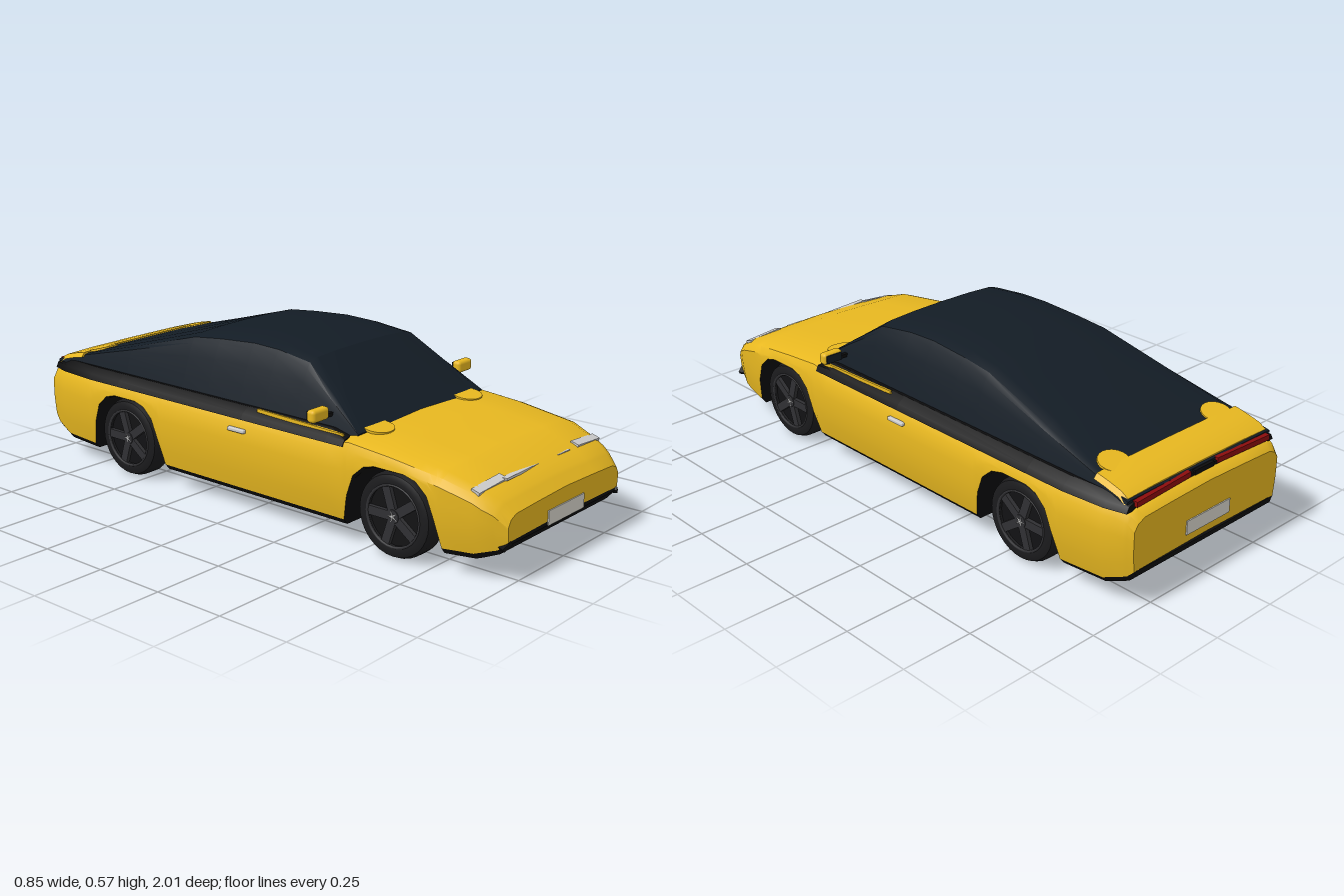
import * as THREE from 'three';
import { toCreasedNormals } from 'three/addons/utils/BufferGeometryUtils.js';
import { RoundedBoxGeometry } from 'three/addons/geometries/RoundedBoxGeometry.js';

const mat = (color, side = THREE.FrontSide) => new THREE.MeshStandardMaterial({ color, side });
const YELLOW = mat(0xe8b820, THREE.DoubleSide);
const GLASS = mat(0x131c25, THREE.DoubleSide);
const BLACK = mat(0x0c0c0d, THREE.DoubleSide);
const TYRE = mat(0x1b1b1d), RIM = mat(0x303033), WELL = mat(0x121214);
const SILVER = mat(0xcccccc), RED = mat(0x8c0c0c), PLATE = mat(0xd8d6cc);

// Linear interpolation in a table of [key, value] with rising keys
function lookup(table, v) {
  if (v <= table[0][0]) return table[0][1];
  for (let i = 1; i < table.length; i++) {
    const [k0, a] = table[i - 1], [k1, b] = table[i];
    if (v <= k1) return a + (b - a) * (v - k0) / (k1 - k0);
  }
  return table[table.length - 1][1];
}

const flip = ([x, y, z]) => [-x, y, z];
// Right half (bottom to top centre) -> whole arch, right to left
const overTop = (half) => [...half, ...half.slice(0, -1).reverse().map(flip)];
// Right half (bottom centre outwards) -> whole underside, left to right
const underBottom = (half) => [...half.slice(1).reverse().map(flip), ...half];

// Skin over cross-sections listed front to back
function loft(sections, crease = 0.55) {
  const pos = [];
  for (let i = 0; i + 1 < sections.length; i++) {
    const A = sections[i], B = sections[i + 1];
    for (let j = 0; j + 1 < A.length; j++) {
      pos.push(...A[j], ...B[j], ...A[j + 1], ...A[j + 1], ...B[j], ...B[j + 1]);
    }
  }
  const g = new THREE.BufferGeometry();
  g.setAttribute('position', new THREE.Float32BufferAttribute(pos, 3));
  return toCreasedNormals(g, crease);
}

// Close both ends of a section list at a centre point
function capped(sections, lift = 0) {
  const end = (s) => s.map(() => [0, Math.min(...s.map((p) => p[1])) + lift, s[0][2]]);
  return [end(sections[0]), ...sections, end(sections[sections.length - 1])];
}

// Plan half-width, top line and bottom line (with both wheel arches) along z
const WIDTH = [[-1, 0.34], [-0.97, 0.355], [-0.9, 0.375], [-0.75, 0.39], [0.6, 0.392], [0.8, 0.385], [0.93, 0.355], [1, 0.32]];
const TOP = [[-1, 0.315], [-0.98, 0.335], [-0.94, 0.345], [0.37, 0.345], [0.45, 0.36], [0.6, 0.348], [0.8, 0.322], [0.9, 0.29], [0.96, 0.26], [1, 0.225]];
const arch = (z0, z1) => [
  [z0, 0.065], [z0 + 0.025, 0.16], [z0 + 0.05, 0.235], [z0 + 0.09, 0.275], [z0 + 0.13, 0.287],
  [z1 - 0.13, 0.287], [z1 - 0.085, 0.275], [z1 - 0.045, 0.235], [z1 - 0.02, 0.16], [z1, 0.065]];
const BOTTOM = [[-1, 0.12], [-0.98, 0.1], [-0.9, 0.067], ...arch(-0.74, -0.375), ...arch(0.43, 0.8), [0.9, 0.068], [0.97, 0.095], [1, 0.13]];
const SIDE = [[0.06, 0.93], [0.1, 0.96], [0.15, 0.985], [0.21, 1], [0.28, 1], [0.34, 0.97]];

function bodySection(z) {
  const w = lookup(WIDTH, z), yt = lookup(TOP, z), yb = lookup(BOTTOM, z);
  const lip = Math.min(0.02, (yt - yb) * 0.1), low = yb + lip, high = Math.max(low, yt - 0.04);
  const half = [[0, yb], [w * lookup(SIDE, yb) * 0.97, yb]];
  for (let i = 0; i <= 4; i++) {
    const y = low + (high - low) * i / 4;
    half.push([w * lookup(SIDE, y), y]);
  }
  half.push([w * 0.955, yt - 0.018], [w * 0.87, yt - 0.005], [w * 0.5, yt], [0, yt + 0.005]);
  return half.map(([x, y]) => [x, y, z]);
}

// Glasshouse outline: half-width by height, roof line by z
const CABIN_SIDE = [[0.35, 0.337], [0.4, 0.322], [0.5, 0.286], [0.54, 0.266], [0.57, 0.24]];
const ROOF = [[-0.965, 0.36], [-0.84, 0.398], [-0.6, 0.466], [-0.32, 0.548], [-0.2, 0.561], [-0.05, 0.571], [0.06, 0.567], [0.2, 0.548], [0.33, 0.455], [0.455, 0.36]];

function cabinSection(z) {
  const yt = lookup(ROOF, z), y0 = 0.35, h = yt - y0;
  const half = [0, 0.3, 0.6, 0.82].map((t) => [lookup(CABIN_SIDE, y0 + h * t), y0 + h * t]);
  const s = half[3][0];
  half.push([s * 0.95, y0 + h * 0.91], [s * 0.82, y0 + h * 0.965], [s * 0.45, yt - h * 0.008], [0, yt]);
  return overTop(half.map(([x, y]) => [x, y, z]));
}

function makeWheel() {
  const wheel = new THREE.Group();
  const add = (name, geo, material) => {
    const m = new THREE.Mesh(geo, material);
    m.name = name;
    wheel.add(m);
    return m;
  };
  // Tyre profile spun round the axle; the outer face points to local +y
  const profile = [[0, -0.05], [0.115, -0.05], [0.132, -0.043], [0.14, -0.025], [0.14, 0.025], [0.132, 0.043], [0.115, 0.05], [0.1, 0.048], [0.097, 0.03]];
  add('tyre', toCreasedNormals(new THREE.LatheGeometry(profile.map((p) => new THREE.Vector2(...p)), 32), 0.6), TYRE);
  add('rimBack', new THREE.CylinderGeometry(0.098, 0.098, 0.01, 32), WELL).position.y = 0.028;
  const ring = add('rimEdge', new THREE.TorusGeometry(0.1, 0.005, 6, 32), RIM);
  ring.rotation.x = Math.PI / 2;
  ring.position.y = 0.046;
  for (let i = 0; i < 5; i++) {
    const a = i * Math.PI * 2 / 5 + Math.PI;
    const spoke = add('spoke', new THREE.BoxGeometry(0.03, 0.014, 0.086), RIM);
    spoke.position.set(Math.sin(a) * 0.055, 0.04, Math.cos(a) * 0.055);
    spoke.rotation.y = a;
    const stud = add('hubPoint', new THREE.ConeGeometry(0.005, 0.02, 4), SILVER);
    stud.position.set(Math.sin(a) * 0.01, 0.05, Math.cos(a) * 0.01);
    stud.rotation.set(Math.PI / 2, 0, -a, 'YXZ');
    stud.rotation.y = a;
    stud.rotation.z = 0;
  }
  add('hub', new THREE.CylinderGeometry(0.022, 0.026, 0.016, 16), RIM).position.y = 0.041;
  return wheel;
}

export function createModel() {
  const car = new THREE.Group();
  car.name = 'car';
  const add = (name, geo, material, x = 0, y = 0, z = 0, rx = 0, ry = 0, rz = 0) => {
    const m = new THREE.Mesh(geo, material);
    m.name = name;
    m.position.set(x, y, z);
    m.rotation.set(rx, ry, rz);
    car.add(m);
    return m;
  };
  const box = (w, h, d) => new THREE.BoxGeometry(w, h, d);

  // Painted shell and black underside share the same stations
  const stations = [...new Set([...WIDTH, ...TOP, ...BOTTOM].map((p) => p[0]))].sort((a, b) => b - a);
  const halves = stations.map(bodySection);
  add('bodyShell', loft(capped(halves.map((h) => overTop(h.slice(2))), 0.005)), YELLOW);
  add('underside', loft(capped(halves.map((h) => underBottom(h.slice(0, 3))), 0.015), 0.4), BLACK);

  // Dark waist band between the body and the glass
  const band = [0.43, 0.36, 0, -0.6, -0.75, -0.9, -0.972].map((z, i) => {
    const w = lookup(WIDTH, z), y = i === 0 ? 0.35 : i === 6 ? 0.352 : 0.364;
    return overTop([[w * 0.978, 0.326, z], [w * 0.95, 0.345, z], [w * 0.88, y, z], [0, y, z]]);
  });
  add('waistBand', loft(capped(band)), BLACK);

  // Glasshouse and painted boot lid
  add('glasshouse', loft(capped(ROOF.map((p) => p[0]).reverse().map(cabinSection)), 0.45), GLASS);
  const lid = [[-0.835, 0.404], [-0.88, 0.395], [-0.93, 0.382], [-0.957, 0.366]].map(([z, y]) =>
    overTop([[0.338, y - 0.02, z], [0.325, y - 0.004, z], [0.2, y, z], [0, y + 0.001, z]]));
  add('bootLid', loft(capped(lid)), YELLOW);

  // Number plates and centre tail trim
  add('frontPlate', box(0.205, 0.048, 0.008), PLATE, 0, 0.154, 1);
  add('rearPlate', box(0.205, 0.048, 0.008), PLATE, 0, 0.195, -1);
  add('tailTrim', box(0.09, 0.016, 0.02), BLACK, 0, 0.35, -0.966);
  add('hoodTrim', box(0.19, 0.008, 0.02), SILVER, -0.12, 0.286, 0.908, 0, 0.05, -0.02);
  add('hoodTrim', box(0.07, 0.005, 0.012), SILVER, 0.12, 0.285, 0.908);

  for (const s of [1, -1]) {
    // Lamps
    add('headlamp', box(0.14, 0.016, 0.03), SILVER, s * 0.272, 0.281, 0.898, 0.3, 0, -s * 0.08);
    add('tailLamp', box(0.25, 0.018, 0.022), RED, s * 0.188, 0.35, -0.968, 0, s * 0.03, -s * 0.02);
    add('cornerVent', box(0.035, 0.012, 0.03), BLACK, s * 0.312, 0.127, 0.987, 0, s * 0.4, -s * 0.6);

    // Rounded tabs at the corners of the hood and boot lid
    const tab = (z, y, tilt) => {
      const t = add('cornerTab', new THREE.CylinderGeometry(0.055, 0.055, 0.008, 20), YELLOW, s * 0.24, y, z, tilt);
      t.scale.set(1, 1, 0.9);
    };
    tab(-0.825, 0.402, -0.27);
    tab(0.46, 0.362, 0.15);

    // Side window sill strip and door handle
    add('sillStrip', box(0.008, 0.012, 0.36), YELLOW, s * 0.357, 0.358, 0.235, 0.03);
    add('doorHandle', new RoundedBoxGeometry(0.016, 0.014, 0.075, 2, 0.005), SILVER, s * 0.392, 0.292, -0.01);

    // Door mirror
    add('mirrorArm', box(0.05, 0.012, 0.014), BLACK, s * 0.34, 0.4, 0.335);
    add('mirrorShell', new RoundedBoxGeometry(0.078, 0.042, 0.034, 3, 0.012), YELLOW, s * 0.386, 0.412, 0.335);
    add('mirrorGlass', box(0.062, 0.028, 0.004), GLASS, s * 0.386, 0.412, 0.317);

    for (const z of [0.618, -0.567]) {
      const wheel = makeWheel();
      wheel.name = z > 0 ? 'frontWheel' : 'rearWheel';
      wheel.position.set(s * 0.32, 0.14, z);
      wheel.rotation.z = -s * Math.PI / 2;
      car.add(wheel);
    }
  }
  return car;
}
